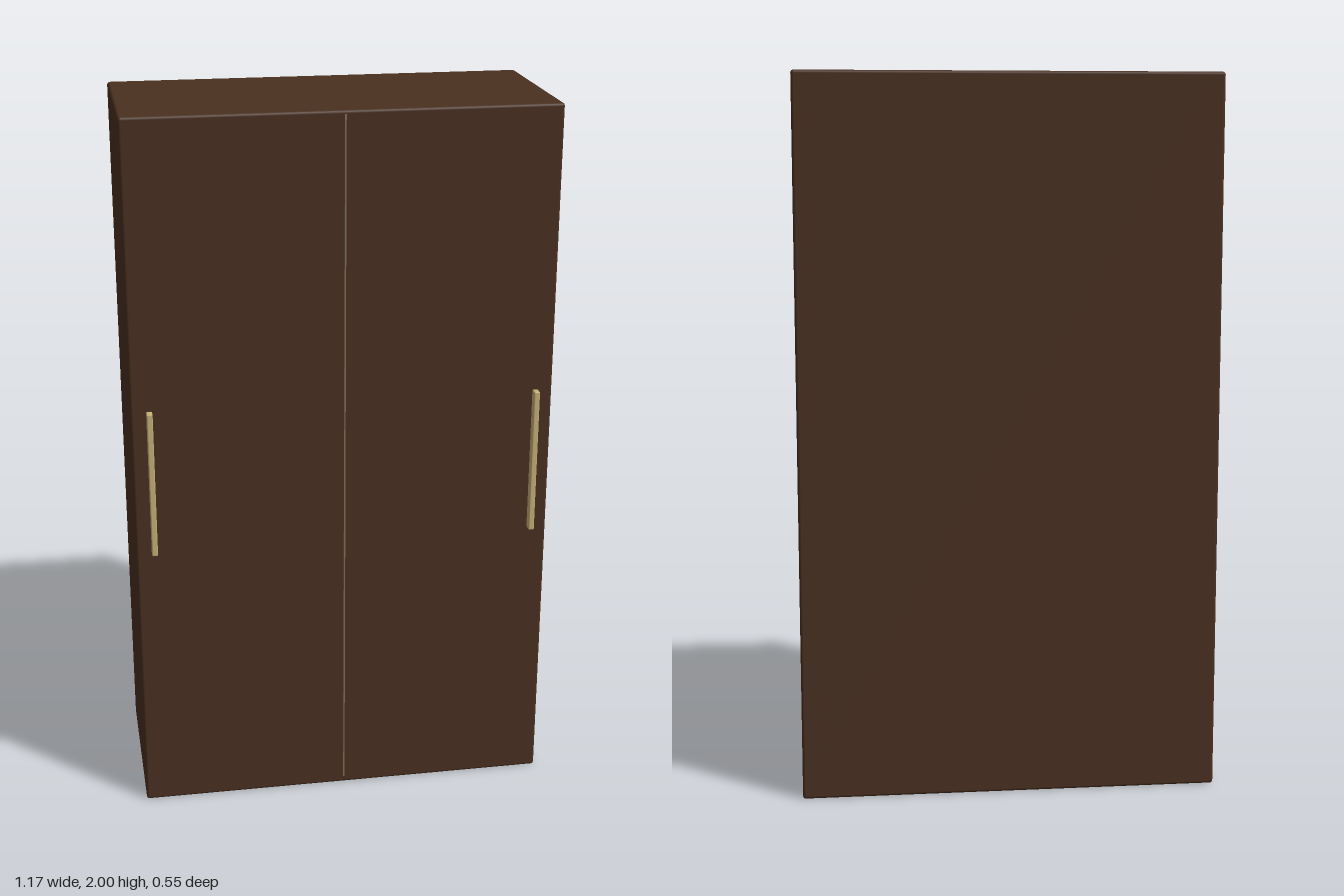
import * as THREE from 'three';
import { RoundedBoxGeometry } from 'three/addons/geometries/RoundedBoxGeometry.js';

export function createModel() {
  const group = new THREE.Group();
  const wood = new THREE.MeshStandardMaterial({ color: 0x4a3020 });
  const brass = new THREE.MeshStandardMaterial({ color: 0xc8b078 });
  const trim = new THREE.MeshStandardMaterial({ color: 0x80705a });

  function add(name, geometry, material, x, y, z) {
    const mesh = new THREE.Mesh(geometry, material);
    mesh.name = name;
    mesh.position.set(x, y, z);
    group.add(mesh);
  }

  // Cabinet with softly eased edges
  add('cabinet', new RoundedBoxGeometry(1.166, 2, 0.515, 3, 0.008), wood, 0, 1, -0.0165);

  // Thin strip where the two doors meet
  add('doorSeam', new THREE.BoxGeometry(0.004, 1.97, 0.006), trim, 0, 1.005, 0.241);

  // Upright bar handles near the outer edges
  for (const side of [-1, 1]) {
    add(side > 0 ? 'leftHandle' : 'rightHandle',
      new RoundedBoxGeometry(0.016, 0.416, 0.026, 2, 0.003), brass, side * 0.533, 1.003, 0.26);
  }
  return group;
}
